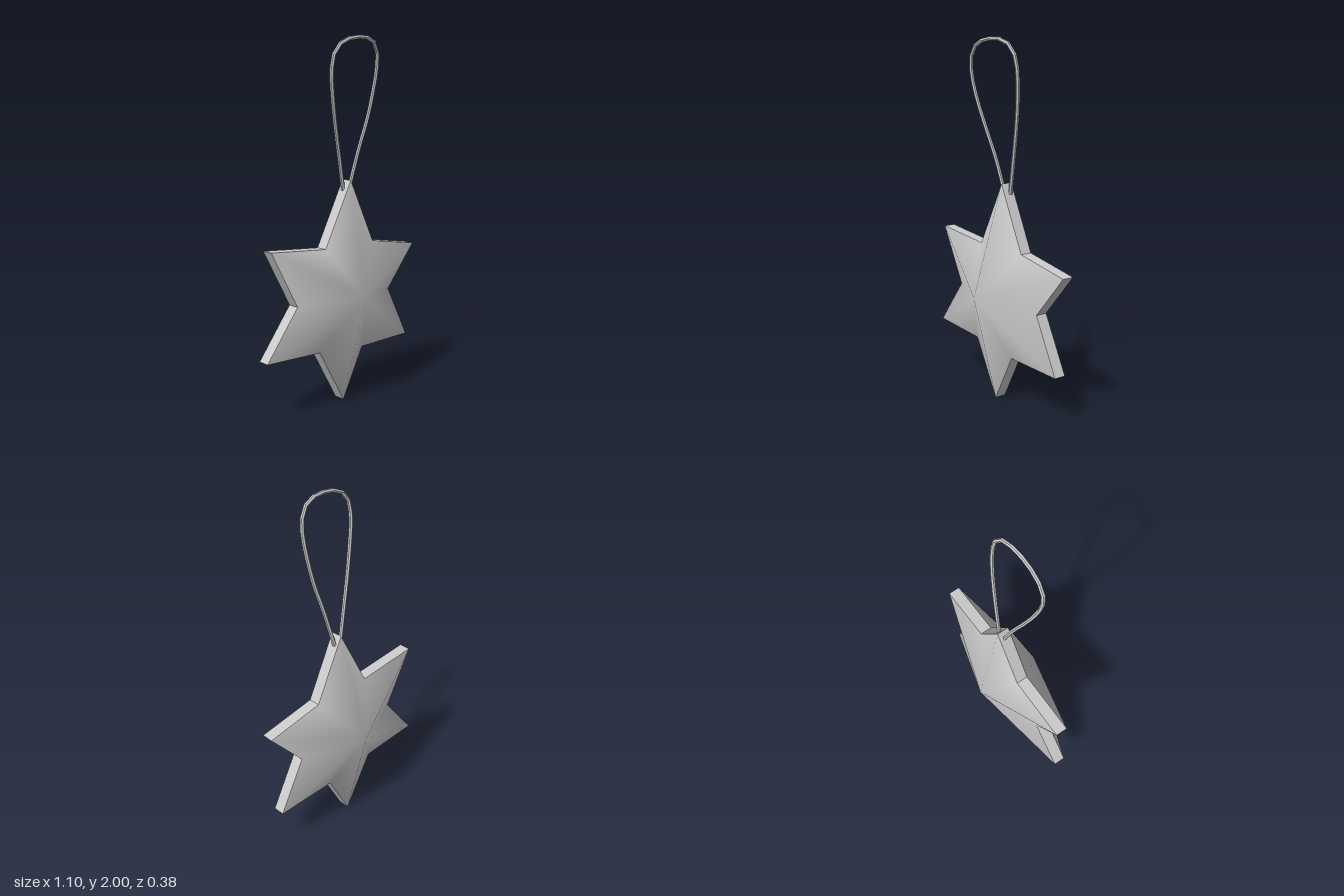
import * as THREE from 'three';

const RIM = 0.033; // half thickness at the edge
const APEX = 0.19; // half thickness at the centre
const CENTRE = [0, 0.62];

// Outline, clockwise from the top tip: tip, notch, tip, notch...
const OUTLINE = [
  [0.04, 1.235], [0.21, 0.88], [0.545, 0.82], [0.34, 0.58],
  [0.495, 0.28], [0.13, 0.28], [-0.015, 0.003], [-0.19, 0.315],
  [-0.55, 0.335], [-0.345, 0.6], [-0.515, 0.915], [-0.145, 0.88],
];

// Loop centre line, from the left strand over the top and down the right
const LOOP = [
  [0.018, 1.18, -0.004], [-0.03, 1.36, 0.017], [-0.085, 1.53, 0.046],
  [-0.13, 1.69, 0.073], [-0.151, 1.81, 0.088], [-0.143, 1.895, 0.096],
  [-0.108, 1.947, 0.1], [-0.05, 1.977, 0.102], [0.03, 1.99, 0.1],
  [0.1, 1.988, 0.093], [0.163, 1.962, 0.083], [0.198, 1.908, 0.071],
  [0.206, 1.83, 0.06], [0.192, 1.7, 0.045], [0.165, 1.56, 0.031],
  [0.12, 1.4, 0.012], [0.064, 1.18, -0.008],
];

// Smooth fan from the outline to a raised centre; side is +1 front, -1 back
function faceGeometry(side) {
  const n = OUTLINE.length;
  const positions = [CENTRE[0], CENTRE[1], side * APEX];
  const index = [];
  OUTLINE.forEach(([x, y], i) => {
    positions.push(x, y, side * RIM);
    const a = i + 1, b = ((i + 1) % n) + 1;
    index.push(0, ...(side > 0 ? [b, a] : [a, b]));
  });
  const geometry = new THREE.BufferGeometry();
  geometry.setAttribute('position', new THREE.Float32BufferAttribute(positions, 3));
  geometry.setIndex(index);
  geometry.computeVertexNormals();
  return geometry;
}

// Flat band around the outline, one quad per edge
function rimGeometry() {
  const positions = [];
  OUTLINE.forEach(([ax, ay], i) => {
    const [bx, by] = OUTLINE[(i + 1) % OUTLINE.length];
    positions.push(
      ax, ay, RIM, bx, by, RIM, bx, by, -RIM,
      ax, ay, RIM, bx, by, -RIM, ax, ay, -RIM,
    );
  });
  const geometry = new THREE.BufferGeometry();
  geometry.setAttribute('position', new THREE.Float32BufferAttribute(positions, 3));
  geometry.computeVertexNormals();
  return geometry;
}

export function createModel() {
  const group = new THREE.Group();
  group.name = 'starOrnament';
  const smooth = new THREE.MeshStandardMaterial({ color: 0xcccccc });
  const flat = new THREE.MeshStandardMaterial({ color: 0xcccccc, flatShading: true });

  const add = (name, geometry, material) => {
    const mesh = new THREE.Mesh(geometry, material);
    mesh.name = name;
    group.add(mesh);
  };

  // Star body
  add('starFront', faceGeometry(1), smooth);
  add('starBack', faceGeometry(-1), smooth);
  add('starRim', rimGeometry(), flat);

  // Hanging string, its ends buried in the top tip
  const path = new THREE.CatmullRomCurve3(LOOP.map((p) => new THREE.Vector3(...p)), false, 'centripetal');
  add('hangingLoop', new THREE.TubeGeometry(path, 28, 0.011, 6), flat);

  return group;
}
